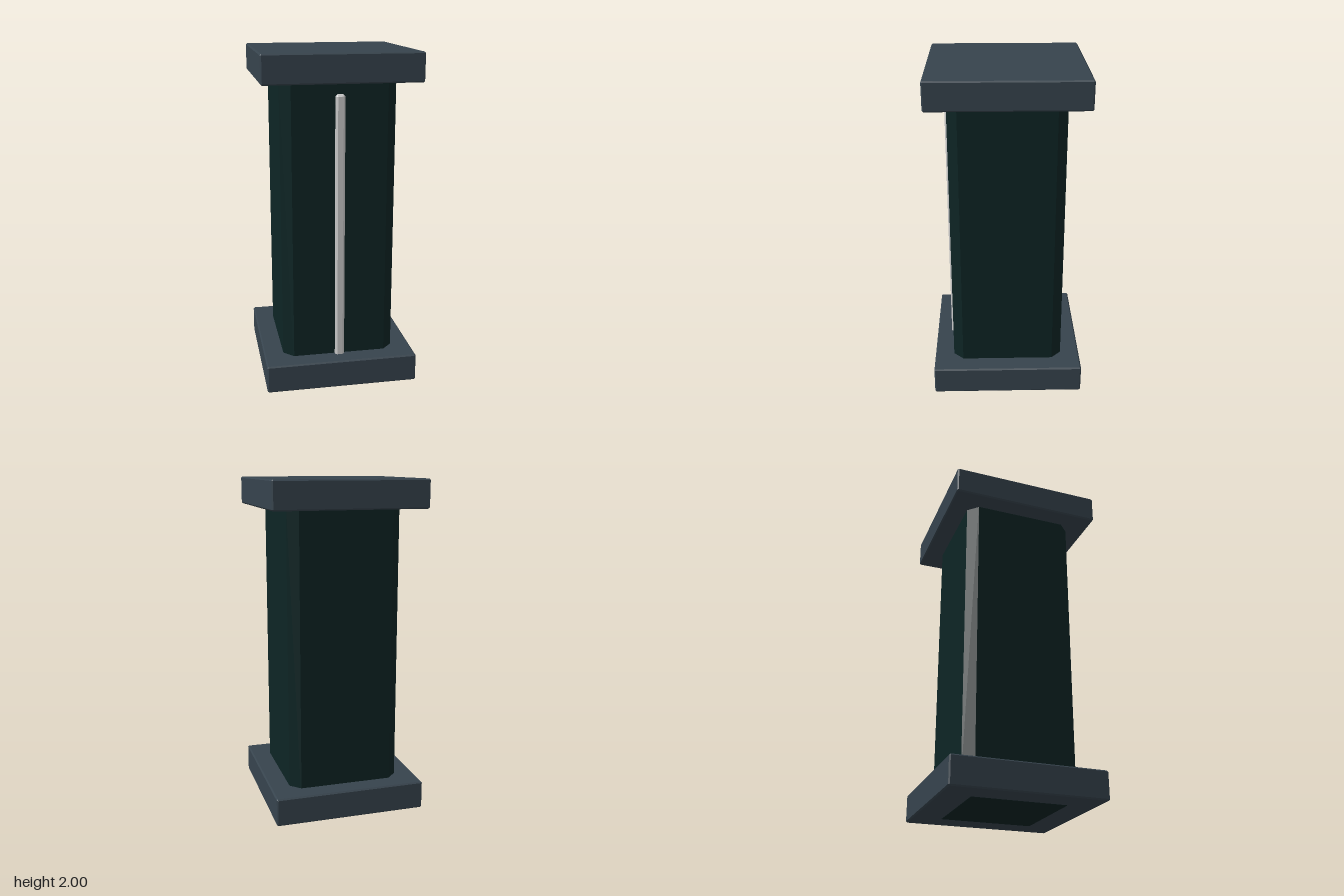
import * as THREE from 'three';
import { ConvexGeometry } from 'three/addons/geometries/ConvexGeometry.js';

// Box with one flat 45 degree chamfer on every edge
function chamferBox(w, h, d, c) {
  const points = [];
  for (const x of [-1, 1]) for (const y of [-1, 1]) for (const z of [-1, 1]) {
    for (const [a, b, e] of [[0, c, c], [c, 0, c], [c, c, 0]]) {
      points.push(new THREE.Vector3(x * (w / 2 - a), y * (h / 2 - b), z * (d / 2 - e)));
    }
  }
  return new ConvexGeometry(points);
}

export function createModel() {
  const slate = new THREE.MeshStandardMaterial({ name: 'slate', color: 0x36434d });
  const darkGreen = new THREE.MeshStandardMaterial({ name: 'darkGreen', color: 0x0d2424 });
  const lightGrey = new THREE.MeshStandardMaterial({ name: 'lightGrey', color: 0xcccccc });

  const model = new THREE.Group();
  model.name = 'pillar';

  // Adds a chamfered block spanning y0 to y1, centred at depth z
  function block(name, material, w, d, y0, y1, chamfer, z = 0) {
    const mesh = new THREE.Mesh(chamferBox(w, y1 - y0, d, chamfer), material);
    mesh.name = name;
    mesh.position.set(0, (y0 + y1) / 2, z);
    model.add(mesh);
  }

  // Square slabs at foot and head
  block('base', slate, 0.916, 0.916, 0.002, 0.172, 0.008);
  block('cap', slate, 0.916, 0.916, 1.832, 2, 0.008);

  // Shaft passes through the base, so its foot shows underneath
  block('shaft', darkGreen, 0.68, 0.68, 0, 1.95, 0.06);

  // Vertical light strip on the front face
  block('lightStrip', lightGrey, 0.056, 0.05, 0.1, 1.764, 0.012, 0.34);

  return model;
}
